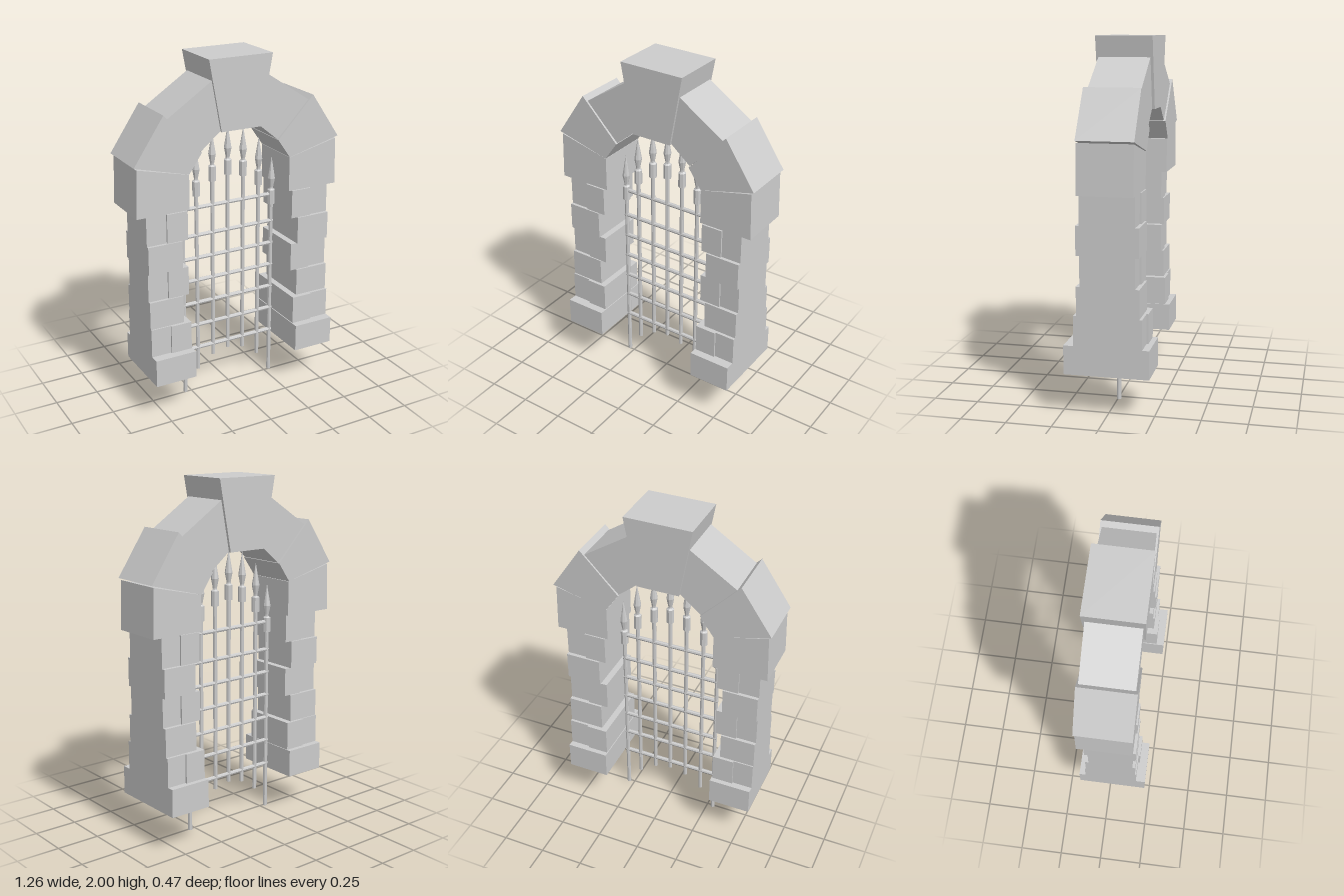
import * as THREE from 'three';

const stone = new THREE.MeshStandardMaterial({ color: 0xcccccc, flatShading: true });
const iron = new THREE.MeshStandardMaterial({ color: 0xcccccc, flatShading: true });

function add(parent, name, geometry, material) {
  const mesh = new THREE.Mesh(geometry, material);
  mesh.name = name;
  parent.add(mesh);
  return mesh;
}

// Stone block between two x, y and z limits
function block(parent, name, x0, x1, y0, y1, z0, z1) {
  const g = new THREE.BoxGeometry(Math.abs(x1 - x0), y1 - y0, z1 - z0);
  g.translate((x0 + x1) / 2, (y0 + y1) / 2, (z0 + z1) / 2);
  return add(parent, name, g, stone);
}

// Wedge stone: outline in x/y, pushed from z0 to z1
function wedge(parent, name, points, side, z0, z1) {
  const shape = new THREE.Shape(points.map(([x, y]) => new THREE.Vector2(x * side, y)));
  const g = new THREE.ExtrudeGeometry(shape, { depth: z1 - z0, bevelEnabled: false });
  g.translate(0, 0, z0);
  return add(parent, name, g, stone);
}

// Pillar courses, bottom to top: [y0, y1, inner x, back z, front z], split courses have a quoin
const levels = [0.225, 0.385, 0.55, 0.71, 0.875, 1.035, 1.2];
const innerX = [0.325, 0.33, 0.367, 0.33, 0.367, 0.33];
const depths = {
  1: [[-0.233, 0.232], [-0.205, 0.187], [-0.18, 0.16], [-0.167, 0.15], [-0.178, 0.16], [-0.167, 0.15]],
  '-1': [[-0.18, 0.22], [-0.152, 0.175], [-0.135, 0.157], [-0.125, 0.15], [-0.135, 0.157], [-0.125, 0.15]],
};

function pillar(side) {
  const group = new THREE.Group();
  group.name = side > 0 ? 'leftPillar' : 'rightPillar';
  depths[side].forEach(([z0, z1], i) => {
    const y0 = levels[i], y1 = levels[i + 1];
    if (i % 2 === 0) {
      block(group, 'pillarStone', innerX[i] * side, 0.57 * side, y0, y1, z0, z1);
    } else {
      block(group, 'innerQuoin', innerX[i] * side, 0.453 * side, y0, y1, z0, z1);
      block(group, 'outerStone', 0.453 * side, 0.57 * side, y0, y1, z0 + 0.01, z1 - 0.01);
    }
  });
  return group;
}

// Vertical bar with a collar and a pointed head
function spearBar(x, bottom, tip) {
  const profile = [
    [0, bottom], [0.012, bottom], [0.012, tip - 0.285], [0.022, tip - 0.285],
    [0.022, tip - 0.2], [0.012, tip - 0.192], [0.012, tip - 0.182],
    [0.022, tip - 0.13], [0, tip],
  ].map(([r, y]) => new THREE.Vector2(r, y));
  const g = new THREE.LatheGeometry(profile, 8);
  g.translate(x, 0, -0.007);
  return g;
}

export function createModel() {
  const model = new THREE.Group();
  model.name = 'stoneArchGate';

  // Pillars
  for (const side of [1, -1]) model.add(pillar(side));

  // Arch
  const arch = new THREE.Group();
  arch.name = 'arch';
  model.add(arch);
  for (const s of [1, -1]) {
    wedge(arch, 'springer', [[0.313, 1.2], [0.623, 1.2], [0.615, 1.47], [0.313, 1.398]], s, -0.16, 0.14);
    wedge(arch, 'lowerVoussoir', [[0.313, 1.4], [0.63, 1.482], [0.456, 1.74], [0.236, 1.51]], s, -0.165, 0.142);
    wedge(arch, 'upperVoussoir', [[0.236, 1.513], [0.434, 1.712], [0.17, 1.885], [0.118, 1.61]], s, -0.155, 0.131);
  }
  wedge(arch, 'keystone', [[-0.118, 1.605], [0.118, 1.605], [0.191, 2], [-0.191, 2]], 1, -0.17, 0.144);

  // Portcullis
  const gate = new THREE.Group();
  gate.name = 'portcullis';
  model.add(gate);
  const bars = [[0, 0.225, 1.595], [0.098, 0.203, 1.572], [0.199, 0.132, 1.5], [0.285, 0, 1.37]];
  for (const [x, bottom, tip] of bars) {
    for (const s of x ? [1, -1] : [1]) add(gate, 'spearBar', spearBar(x * s, bottom, tip), iron);
  }
  for (const y of [0.272, 0.42, 0.562, 0.704, 0.842, 0.98, 1.145]) {
    const rail = add(gate, 'crossBar', new THREE.CylinderGeometry(0.012, 0.012, 0.59, 8), iron);
    rail.rotation.z = Math.PI / 2;
    rail.position.set(0, y, -0.007);
  }
  return model;
}
